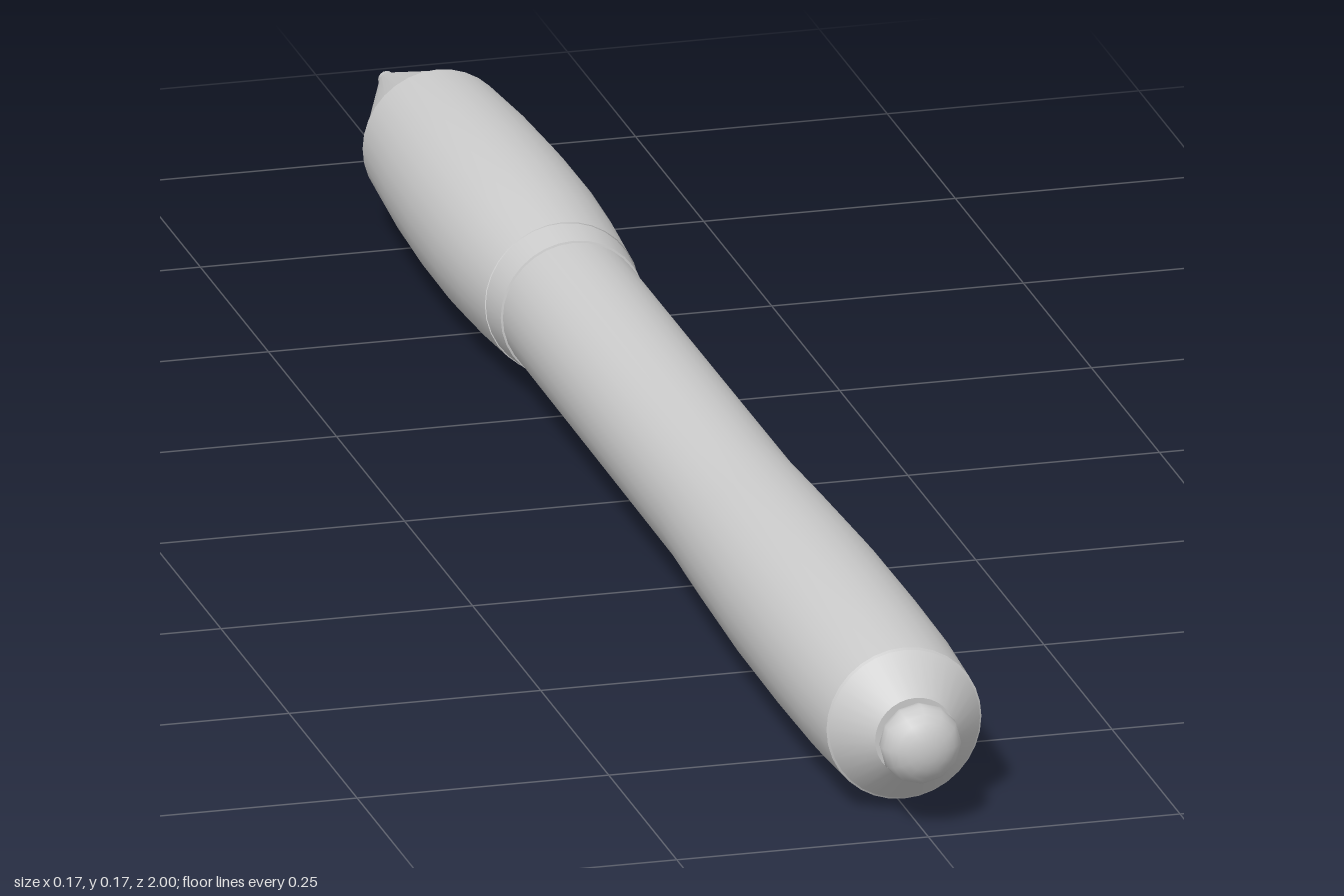
import * as THREE from 'three';

const material = new THREE.MeshStandardMaterial({ color: 0xcccccc, side: THREE.DoubleSide });

// Turned part along z: profile is a list of [z, radius] with z increasing
function turned(name, profile, sides = 32) {
  const points = profile.map(([z, r]) => new THREE.Vector2(r, z));
  const geometry = new THREE.LatheGeometry(points, sides);
  geometry.rotateX(Math.PI / 2);
  const mesh = new THREE.Mesh(geometry, material);
  mesh.name = name;
  return mesh;
}

export function createModel() {
  const pen = new THREE.Group();
  pen.name = 'pen';

  // Writing end: rounded point, cone, swelling grip and joint ring
  pen.add(turned('point', [[-1, 0], [-0.998, 0.005], [-0.992, 0.008], [-0.985, 0.009]], 16));
  pen.add(turned('tipCone', [[-0.99, 0.007], [-0.81, 0.071]]));
  pen.add(turned('tipShoulder', [[-0.81, 0.071], [-0.805, 0.074]]));
  pen.add(turned('grip', [[-0.805, 0.074], [-0.7, 0.081], [-0.6, 0.0845], [-0.5, 0.085],
    [-0.42, 0.082], [-0.345, 0.077]]));
  pen.add(turned('jointRing', [[-0.345, 0.076], [-0.305, 0.072]]));
  pen.add(turned('jointRingEdge', [[-0.305, 0.072], [-0.304, 0.069]]));

  // Barrel, slim in the middle and fuller towards the button
  pen.add(turned('barrel', [[-0.305, 0.07], [0, 0.071], [0.28, 0.072], [0.4, 0.0765], [0.55, 0.081],
    [0.7, 0.082], [0.82, 0.081], [0.91, 0.077]]));
  pen.add(turned('barrelEdge', [[0.91, 0.077], [0.912, 0.074]]));

  // Sloped end cap, neck and push button
  pen.add(turned('endCap', [[0.912, 0.075], [0.952, 0.04]]));
  pen.add(turned('endCapFace', [[0.952, 0.04], [0.953, 0]]));
  pen.add(turned('buttonNeck', [[0.94, 0.032], [0.965, 0.032]], 16));
  const button = new THREE.Mesh(new THREE.SphereGeometry(0.04, 12, 12).rotateX(Math.PI / 2), material);
  button.name = 'pushButton';
  button.scale.z = 0.75;
  button.position.z = 0.97;
  pen.add(button);

  pen.position.y = 0.085;
  const model = new THREE.Group();
  model.add(pen);
  return model;
}
